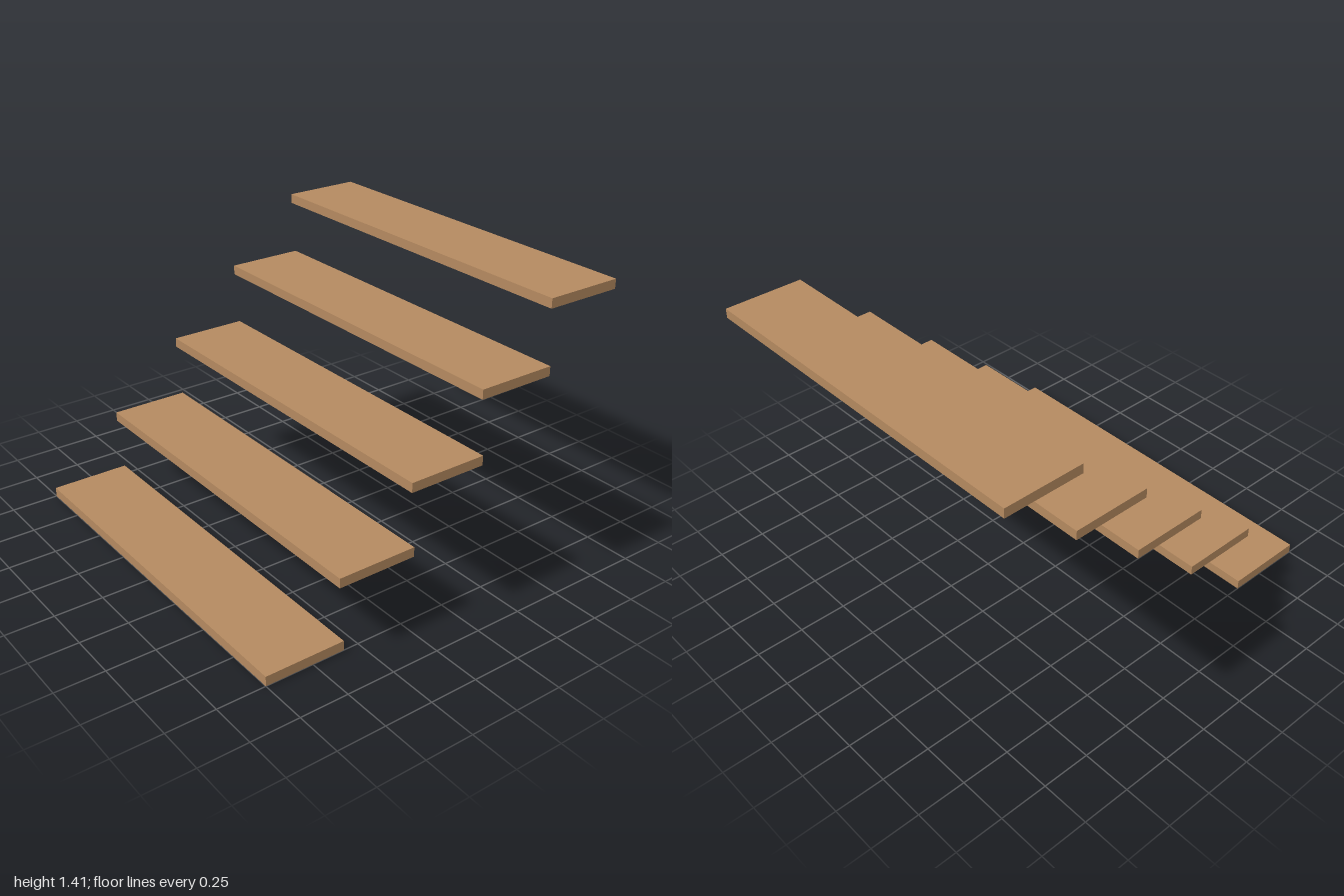
import * as THREE from 'three';

export function createModel() {
  const group = new THREE.Group();
  group.name = 'floatingStairs';
  const wood = new THREE.MeshStandardMaterial({ color: 0xb58a60 });
  wood.name = 'wood';

  const count = 5, thickness = 0.05, depth = 0.421;
  const rise = 0.339, run = (2 - depth) / (count - 1);
  const plank = new THREE.BoxGeometry(2, thickness, depth);

  // Overlapping treads climbing from the front to the back
  for (let i = 0; i < count; i++) {
    const tread = new THREE.Mesh(plank, wood);
    tread.name = `tread${i + 1}`;
    tread.position.set(0, thickness / 2 + i * rise, 1 - depth / 2 - i * run);
    group.add(tread);
  }
  return group;
}
